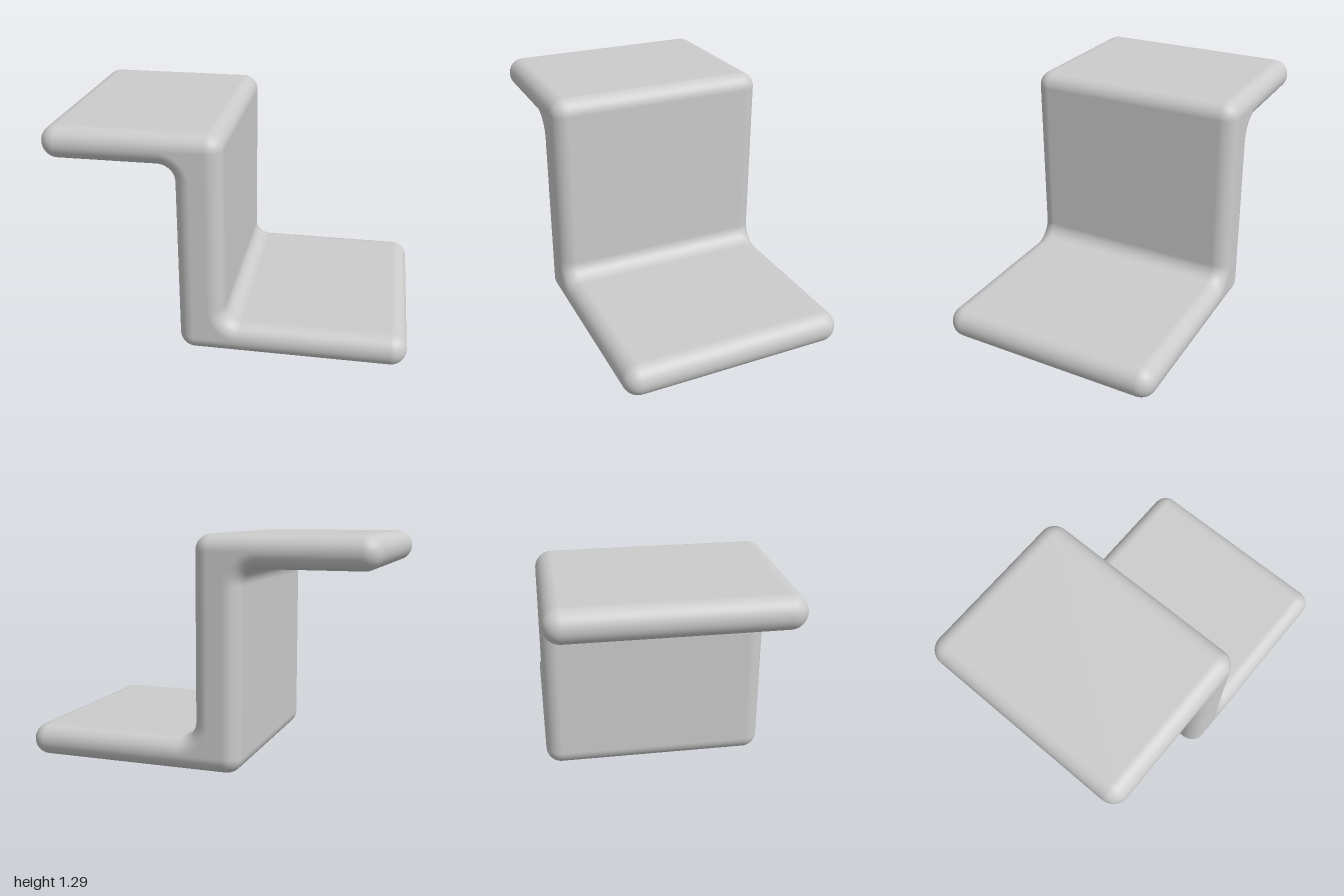
import * as THREE from 'three';

const R = 0.09;          // rounding of all outer edges
const FILLET = 0.09;     // radius of the two inner corners
const HALF_DEPTH = 0.645;
const ARC = 10;          // segments per profile corner
const ROUND = 10;        // segments per front/back rounding

// Stepped outline, counter-clockwise
const OUTLINE = [
  [-0.276, 0], [1, 0], [1, 0.182], [-0.013, 0.182],
  [-0.013, 1.289], [-1, 1.289], [-1, 1.107], [-0.276, 1.107],
].map(([x, y]) => new THREE.Vector2(x, y));

// Outline with rounded corners, drawn inwards by "inset"
function profile(inset) {
  const ring = [];
  const count = OUTLINE.length;
  OUTLINE.forEach((corner, i) => {
    const a = corner.clone().sub(OUTLINE[(i + count - 1) % count]).normalize();
    const b = OUTLINE[(i + 1) % count].clone().sub(corner).normalize();
    const nIn = new THREE.Vector2(a.y, -a.x);
    const nOut = new THREE.Vector2(b.y, -b.x);
    const turn = Math.sign(a.cross(b));
    const center = corner.clone().addScaledVector(nIn.clone().add(nOut), turn > 0 ? -R : FILLET);
    const radius = turn > 0 ? R - inset : -(FILLET + inset);
    for (let k = 0; k <= ARC; k++) {
      const angle = nIn.angle() + turn * (k / ARC) * Math.PI / 2;
      const normal = new THREE.Vector2(Math.cos(angle), Math.sin(angle));
      ring.push({ point: center.clone().addScaledVector(normal, radius), normal });
    }
  });
  return ring;
}

function steppedSlab() {
  const positions = [], normals = [], index = [];

  // Cross-sections from back to front, shrinking towards both ends
  const sections = [];
  for (const side of [-1, 1]) {
    for (let k = 0; k <= ROUND; k++) {
      const t = (side < 0 ? k / ROUND - 1 : k / ROUND) * Math.PI / 2;
      sections.push({ t, z: side * (HALF_DEPTH - R) + R * Math.sin(t) });
    }
  }
  for (const { t, z } of sections) {
    for (const { point, normal } of profile(R * (1 - Math.cos(t)))) {
      positions.push(point.x, point.y, z);
      normals.push(normal.x * Math.cos(t), normal.y * Math.cos(t), Math.sin(t));
    }
  }
  const n = OUTLINE.length * (ARC + 1);
  for (let s = 0; s < sections.length - 1; s++) {
    for (let i = 0; i < n; i++) {
      const j = (i + 1) % n;
      const a = s * n + i, b = s * n + j;
      index.push(a, b, b + n, a, b + n, a + n);
    }
  }

  // Flat front and back faces inside the rounding
  const faces = THREE.ShapeUtils.triangulateShape(profile(R * 0.98).map((p) => p.point), []);
  const last = (sections.length - 1) * n;
  for (const [a, b, c] of faces) {
    index.push(last + a, last + b, last + c, a, c, b);
  }

  const geometry = new THREE.BufferGeometry();
  geometry.setAttribute('position', new THREE.Float32BufferAttribute(positions, 3));
  geometry.setAttribute('normal', new THREE.Float32BufferAttribute(normals, 3));
  geometry.setIndex(index);
  return geometry;
}

export function createModel() {
  const group = new THREE.Group();
  group.name = 'steppedStand';
  const body = new THREE.Mesh(steppedSlab(), new THREE.MeshStandardMaterial({ color: 0xcccccc }));
  body.name = 'steppedBody';
  group.add(body);
  return group;
}
